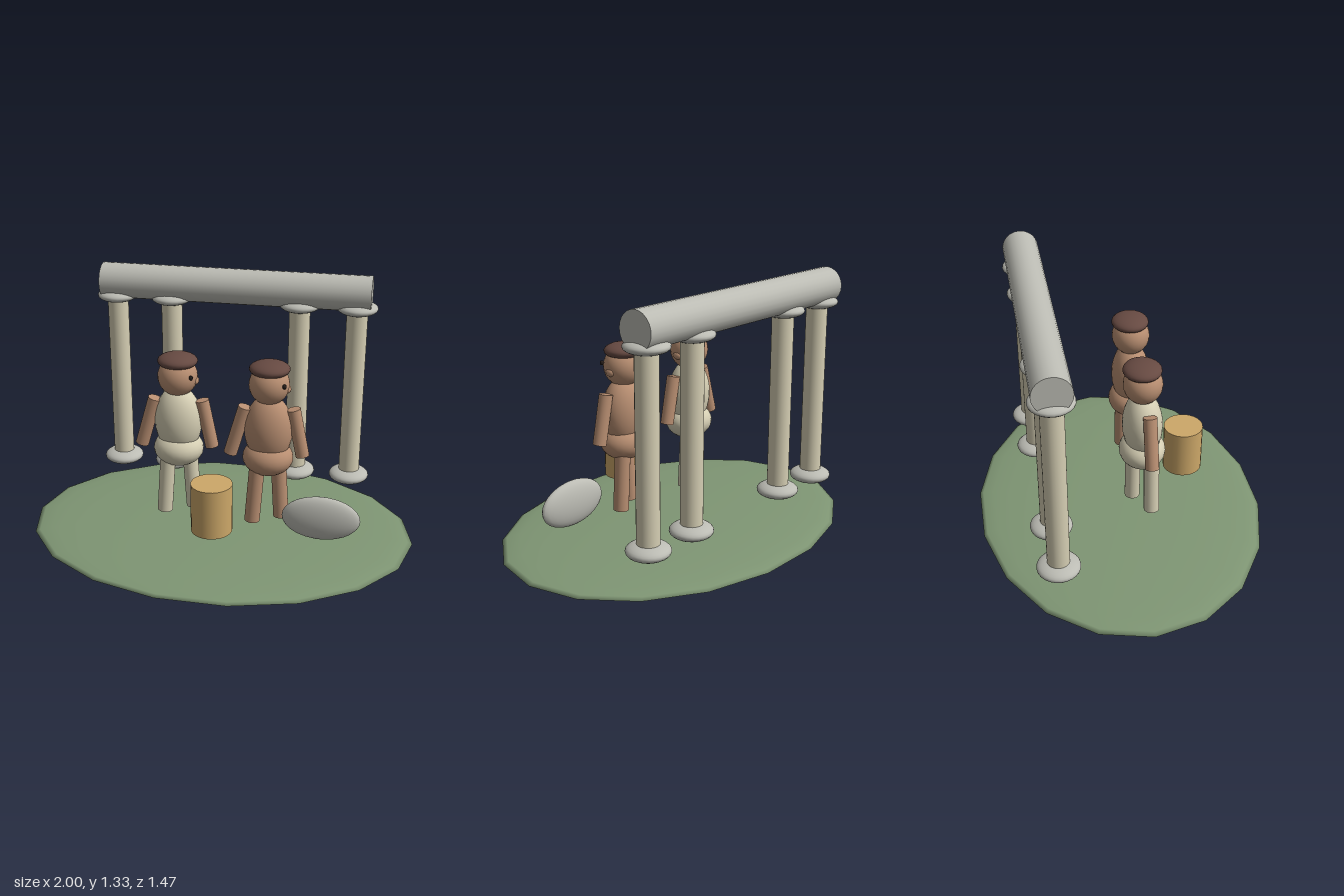
import * as THREE from 'three';

const mat = (name, color) => Object.assign(new THREE.MeshStandardMaterial({ color }), { name });

export function createModel() {
  const grass = mat('grass green', 0x7f9674);
  const stone = mat('stone grey', 0xbcbcb4);
  const cream = mat('cream', 0xd6cfb4);
  const skin = mat('tan skin', 0xb98f72);
  const hair = mat('dark brown hair', 0x674a42);
  const wood = mat('straw', 0xcda869);
  const dark = mat('eye black', 0x241c1a);

  const model = new THREE.Group();
  model.name = 'colonnadeScene';

  // Stretched sphere with centre c and radii r
  const ball = (parent, name, material, c, r, seg = 24) => {
    const m = new THREE.Mesh(new THREE.SphereGeometry(1, seg, 14), material);
    m.name = name;
    m.position.set(...c);
    m.scale.set(...r);
    parent.add(m);
  };

  // Closed cylinder between two points
  const rod = (parent, name, material, a, b, radius) => {
    const from = new THREE.Vector3(...a), to = new THREE.Vector3(...b);
    const dir = to.clone().sub(from);
    const m = new THREE.Mesh(new THREE.CylinderGeometry(radius, radius, dir.length(), 24), material);
    m.name = name;
    m.position.copy(from).add(to).multiplyScalar(0.5);
    m.quaternion.setFromUnitVectors(new THREE.Vector3(0, 1, 0), dir.normalize());
    parent.add(m);
  };

  // Flat oval ground
  ball(model, 'ground', grass, [0, 0.048, 0], [1, 0.048, 0.744], 18);

  // Row of columns with rounded bases and capitals, carrying a round beam
  for (const x of [-0.64, -0.345, 0.336, 0.632]) {
    const column = new THREE.Group();
    column.name = 'column';
    column.position.set(x, 0, -0.398);
    rod(column, 'shaft', cream, [0, 0.22, 0], [0, 1.17, 0], 0.055);
    ball(column, 'base', stone, [0, 0.222, 0], [0.107, 0.041, 0.107]);
    ball(column, 'capital', stone, [0, 1.165, 0], [0.106, 0.036, 0.107]);
    model.add(column);
  }
  rod(model, 'beam', stone, [-0.715, 1.242, -0.4], [0.703, 1.242, -0.4], 0.092);

  // Standing figure whose face looks towards +x
  const figure = (name, x, z, clothes) => {
    const g = new THREE.Group();
    g.name = name;
    g.position.set(x, 0, z);
    ball(g, 'torso', clothes, [0, 0.68, 0], [0.12, 0.18, 0.1]);
    ball(g, 'hips', clothes, [0, 0.53, 0], [0.127, 0.092, 0.116]);
    ball(g, 'head', skin, [0, 0.915, 0], [0.1, 0.1, 0.097]);
    ball(g, 'hair', hair, [0, 0.994, -0.004], [0.1, 0.039, 0.095]);
    ball(g, 'nose', skin, [0.09, 0.897, 0], [0.017, 0.02, 0.027], 12);
    ball(g, 'eye', dark, [0.082, 0.933, 0.065], [0.01, 0.012, 0.01], 12);
    rod(g, 'rightArm', skin, [-0.115, 0.795, 0.014], [-0.187, 0.542, 0.014], 0.034);
    rod(g, 'leftArm', skin, [0.122, 0.795, 0], [0.172, 0.55, 0], 0.034);
    rod(g, 'rightLeg', clothes, [-0.048, 0.48, 0.04], [-0.069, 0.188, 0.04], 0.039);
    rod(g, 'leftLeg', clothes, [0.05, 0.48, -0.035], [0.068, 0.188, -0.035], 0.039);
    model.add(g);
  };
  figure('clothedFigure', -0.2, 0.085, cream);
  figure('bareFigure', 0.26, 0.11, skin);

  // Drum and upright oval shield in front
  rod(model, 'drum', wood, [0.024, 0.225, 0.35], [0.024, 0.477, 0.35], 0.102);
  ball(model, 'shield', stone, [0.543, 0.258, 0.196], [0.195, 0.117, 0.045]);

  return model;
}
